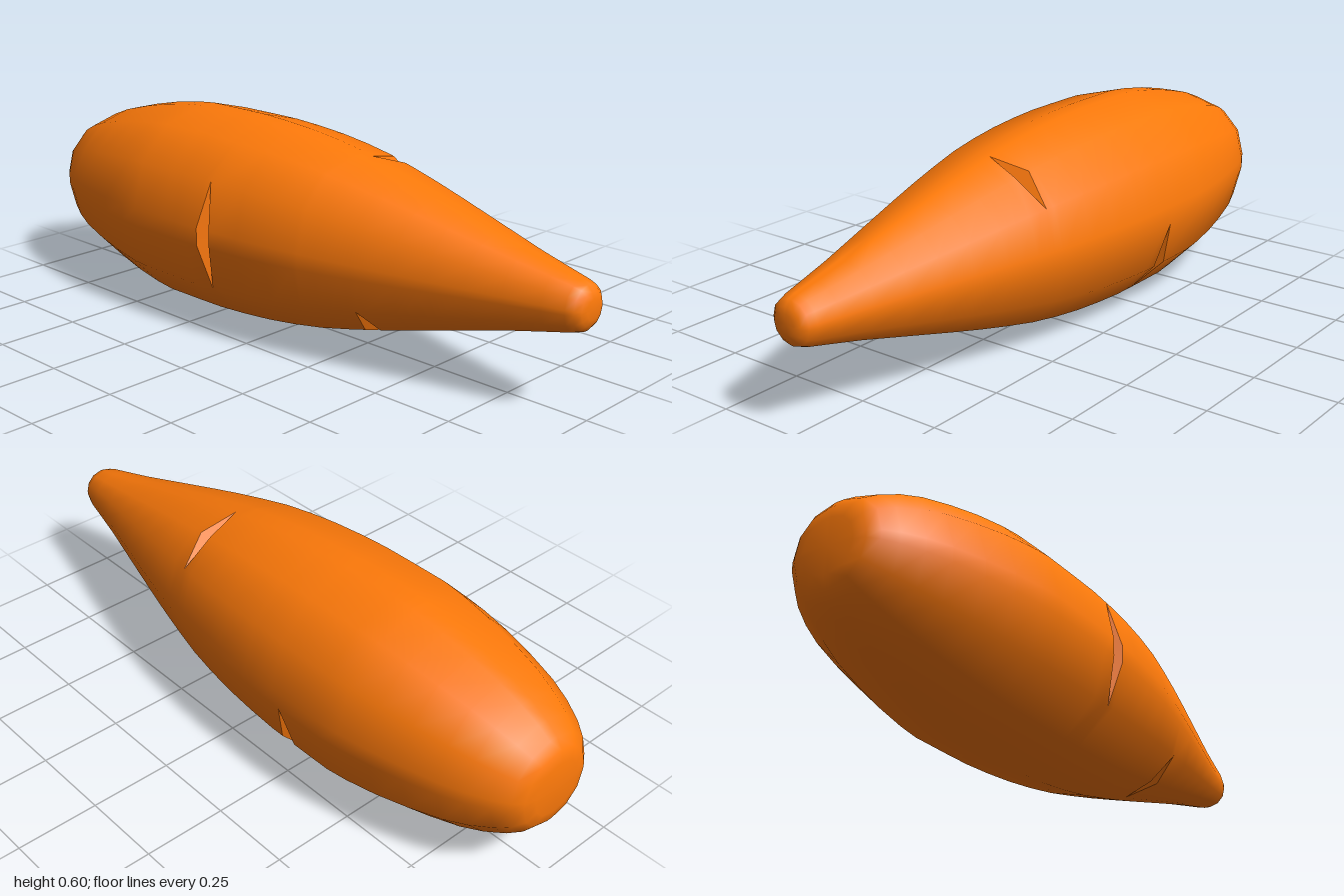
import * as THREE from 'three';
import { toCreasedNormals } from 'three/addons/utils/BufferGeometryUtils.js';

const RAD = Math.PI / 180;
const CENTRE_Y = 0.3025;

// Body outline along x: [x, radius]
const profile = [
  [-1, 0], [-1, 0.08], [-0.992, 0.115], [-0.97, 0.143], [-0.93, 0.172], [-0.87, 0.203],
  [-0.8, 0.23], [-0.7, 0.257], [-0.6, 0.279], [-0.5, 0.295], [-0.43, 0.302], [-0.3, 0.3025],
  [-0.2, 0.302], [-0.1, 0.297], [0, 0.289], [0.1, 0.277], [0.2, 0.261], [0.3, 0.239],
  [0.4, 0.215], [0.5, 0.189], [0.6, 0.162], [0.7, 0.135], [0.8, 0.108], [0.9, 0.084],
  [0.96, 0.07], [0.982, 0.062], [0.995, 0.046], [1, 0.028], [1, 0],
];

// V-shaped cuts in the skin; angle runs from the front (+z) towards the top
const notches = [
  { x: -0.27, angle: 210 },
  { x: -0.127, angle: 0 },
  { x: 0.24, angle: 120 },
  { x: 0.375, angle: 300 },
];
const HALF_WIDTH = 0.025, DEPTH = 0.042;

function radiusAt(x) {
  const i = profile.findIndex((p, k) => k > 0 && p[0] >= x && p[0] > profile[k - 1][0]);
  const [x0, r0] = profile[i - 1], [x1, r1] = profile[i];
  return r0 + (r1 - r0) * (x - x0) / (x1 - x0);
}

// Rounded-off twelve-sided ring: [angle in degrees, radius factor]
const columns = [];
for (let q = 0; q < 4; q++) {
  for (const [a, f] of [[-5.1, 1.004], [5.1, 1.004], [31.9, 1.032], [58.1, 1.032]]) {
    columns.push([q * 90 + a, f]);
  }
}

function bodyGeometry() {
  // Profile rings, with three rings (lip, floor, lip) in place at each notch
  const rings = profile
    .filter(([x]) => notches.every(n => Math.abs(x - n.x) > HALF_WIDTH + 0.005))
    .map(([x, r]) => ({ x, r }));
  for (const n of notches) {
    for (const side of [-1, 0, 1]) {
      const x = n.x + side * HALF_WIDTH;
      rings.push({ x, r: radiusAt(x), notch: side === 0 ? n : null });
    }
  }
  rings.sort((a, b) => a.x - b.x);

  const grid = rings.map(({ x, r, notch }) => columns.map(([angle, factor]) => {
    const sunk = Boolean(notch) && Math.abs(angle - notch.angle) < 8;
    const radius = r * factor - (sunk ? DEPTH : 0);
    const p = new THREE.Vector3(x,
      CENTRE_Y + radius * Math.sin(angle * RAD), radius * Math.cos(angle * RAD));
    return { p, sunk };
  }));

  const positions = [];
  const triangle = (a, b, c) => {
    if (a.p.equals(b.p) || b.p.equals(c.p) || c.p.equals(a.p)) return;
    for (const v of [a, b, c]) positions.push(v.p.x, v.p.y, v.p.z);
  };
  for (let i = 0; i < grid.length - 1; i++) {
    for (let j = 0; j < columns.length; j++) {
      const k = (j + 1) % columns.length;
      const a = grid[i][j], b = grid[i + 1][j], c = grid[i + 1][k], d = grid[i][k];
      // The diagonal avoids sunken corners so each cut tapers to a point
      if (a.sunk || c.sunk) {
        triangle(a, b, d);
        triangle(b, c, d);
      } else {
        triangle(a, b, c);
        triangle(a, c, d);
      }
    }
  }
  const geometry = new THREE.BufferGeometry();
  geometry.setAttribute('position', new THREE.Float32BufferAttribute(positions, 3));
  return toCreasedNormals(geometry, 0.8);
}

export function createModel() {
  const group = new THREE.Group();
  group.name = 'carrot';
  const body = new THREE.Mesh(bodyGeometry(), new THREE.MeshStandardMaterial({ color: 0xff7a0a }));
  body.name = 'carrotRoot';
  group.add(body);
  return group;
}
